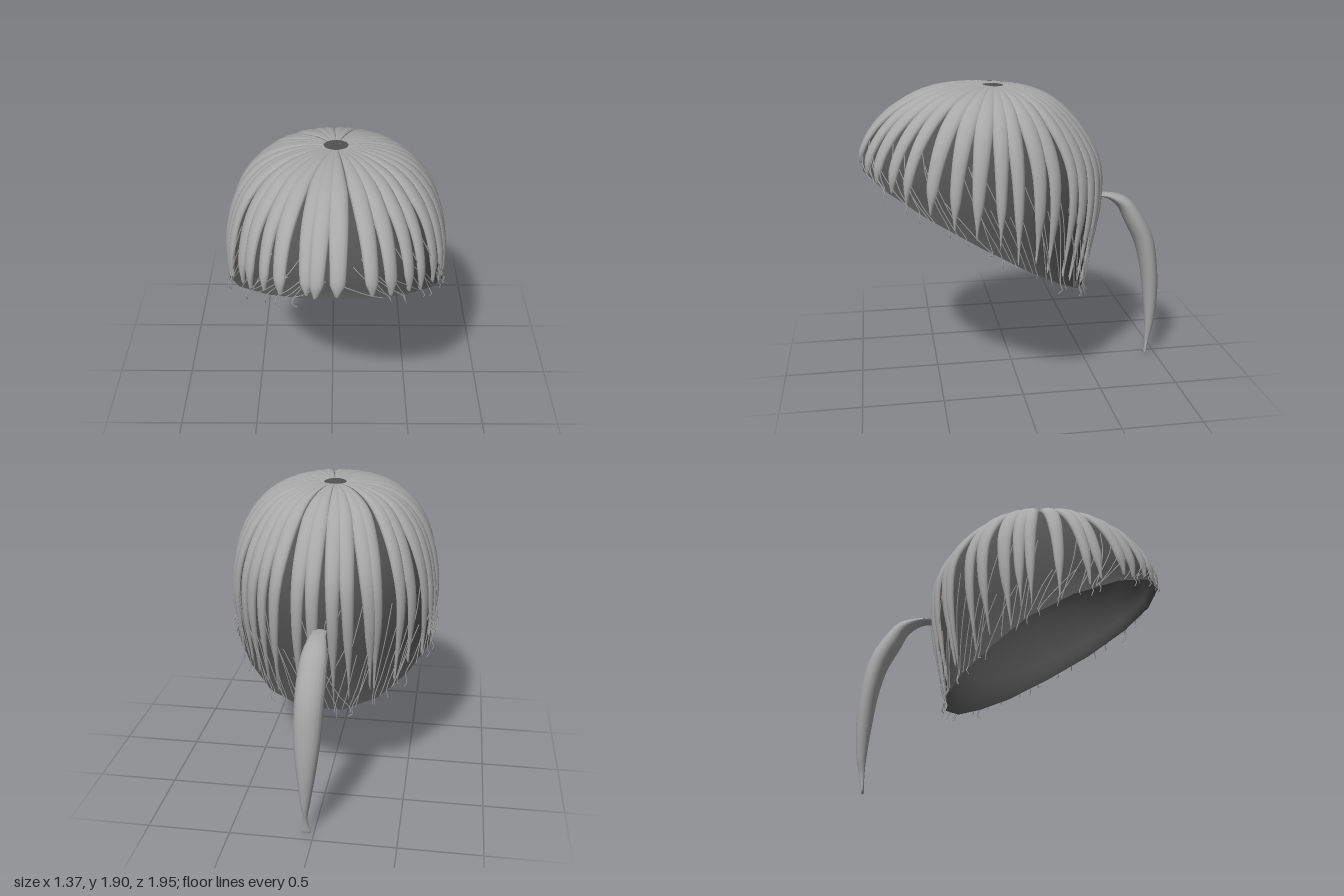
import * as THREE from 'three';
import { mergeGeometries } from 'three/addons/utils/BufferGeometryUtils.js';

const V = (x, y, z) => new THREE.Vector3(x, y, z);
const smooth = THREE.MathUtils.smoothstep;
const spline = (pts) => new THREE.SplineCurve(pts.map(([a, b]) => new THREE.Vector2(a, b)));

// Crown-to-rim outlines as [distance from crown, height]
const FRONT = spline([[0, 1.878], [.2, 1.885], [.4, 1.845], [.57, 1.765], [.69, 1.675], [.775, 1.57], [.815, 1.48], [.82, 1.41]]);
const SIDE = spline([[0, 1.878], [.2, 1.868], [.385, 1.795], [.515, 1.67], [.597, 1.5], [.642, 1.3], [.657, 1.12], [.652, .96]]);
const BACK = spline([[0, 1.878], [.17, 1.865], [.355, 1.785], [.53, 1.61], [.645, 1.4], [.66, 1.15], [.615, .86], [.56, .58]]);

// Point on the head form: a = angle from the front towards +x, t = crown (0) to rim (1)
function headPoint(a, t) {
  const c = Math.cos(a);
  const s = SIDE.getPoint(t);
  const f = (c > 0 ? FRONT : BACK).getPoint(t);
  // The rim draws in behind the ears
  const pinch = c < 0 ? 1 - 0.1 * Math.sin(2 * a) ** 2 * smooth(t, 0.6, 1) : 1;
  return V(0.025 + s.x * pinch * Math.sin(a), s.y + (f.y - s.y) * Math.abs(c), 0.11 + f.x * c);
}

// Local directions on the head form: across, and outwards
function headFrame(a, t) {
  const t0 = Math.max(t - 0.02, 0.001), t1 = Math.min(t + 0.02, 1);
  const across = headPoint(a + 0.02, t).sub(headPoint(a - 0.02, t)).normalize();
  const down = headPoint(a, t1).sub(headPoint(a, t0)).normalize();
  return { across, out: down.cross(across).normalize() };
}

// Skin a list of closed rings, each wound about the direction of travel
function loft(rings) {
  const n = rings[0].length, idx = [];
  for (let i = 0; i < rings.length - 1; i++) {
    for (let j = 0; j < n; j++) {
      const k = (j + 1) % n;
      const a = i * n + j, b = i * n + k, c = b + n, d = a + n;
      idx.push(a, b, c, a, c, d);
    }
  }
  const g = new THREE.BufferGeometry().setFromPoints(rings.flat());
  g.setIndex(idx);
  g.computeVertexNormals();
  return g;
}

// Elliptical ring; flute notches every other corner, floor flattens the underside
function ring(centre, u, v, w, h, sides, flute = 0, floor = -1) {
  return Array.from({ length: sides }, (_, j) => {
    const p = j / sides * Math.PI * 2, k = j % 2 ? 1 - flute : 1;
    return centre.clone().addScaledVector(u, w * k * Math.cos(p)).addScaledVector(v, h * k * Math.max(floor, Math.sin(p)));
  });
}

// Shell over the head form from the crown down to tMax
function shell(tMax, steps, sides, offset) {
  return loft(Array.from({ length: steps + 1 }, (_, i) => {
    const t = Math.max(tMax * i / steps, 0.001);
    return Array.from({ length: sides }, (_, j) => {
      const a = (j + 0.5) / sides * Math.PI * 2;
      return headPoint(a, t).addScaledVector(headFrame(a, Math.max(t, 0.03)).out, offset(t));
    });
  }));
}

export function createModel() {
  const group = new THREE.Group();
  const hair = new THREE.MeshStandardMaterial({ color: 0xa8a8a8 });
  const scalp = new THREE.MeshStandardMaterial({ color: 0x525252, side: THREE.DoubleSide });
  let seed = 7;
  const rand = () => (seed = (seed * 16807) % 2147483647) / 2147483647;
  const add = (name, geo, mat) => {
    const m = new THREE.Mesh(geo, mat);
    m.name = name;
    group.add(m);
  };

  // Under cap: an open shell just inside the strands; smooth crown where the strands meet
  add('underCap', shell(1, 14, 16, (t) => (t > 0.95 ? 0.012 : -0.01)), scalp);
  add('crown', shell(0.3, 8, 48, (t) => 0.008 - 0.012 * smooth(t, 0.1, 0.3)), hair);

  // Strands radiating from the crown, narrowing towards the rim
  const COUNT = 36;
  const strands = [];
  for (let i = 0; i < COUNT; i++) {
    const a0 = (i + 0.5 + (rand() - 0.5) * 0.6) / COUNT * Math.PI * 2;
    const frontness = Math.max(0, Math.cos(a0));
    const maxW = 0.045 + rand() * 0.011;
    const end = 0.92 + rand() * 0.06 + frontness * 0.015;
    const sway = (rand() - 0.5) * 0.08;
    const rings = [];
    for (let s = 0; s <= 24; s++) {
      const t = 0.06 + (end - 0.06) * s / 24;
      const a = a0 + sway * t * t;
      const p = headPoint(a, t);
      const r = Math.hypot(p.x - 0.025, p.z - 0.11);
      const { across, out } = headFrame(a, t);
      const taper = 1 - (0.42 - 0.2 * frontness) * smooth(t, 0.4, 0.85) - 0.5 * smooth(t, 0.72 + 0.1 * frontness, end);
      const w = Math.min(r * Math.PI / COUNT * 1.4, maxW) * taper;
      const h = (0.003 + 0.025 * smooth(r, 0.05, 0.5)) * (0.4 + 0.6 * taper);
      rings.push(ring(p, across, out, w, h, 12, 0, -0.3));
    }
    const tipT = Math.min(end + 0.02, 1), tipA = a0 + sway;
    const tip = headPoint(tipA, tipT).addScaledVector(headFrame(tipA, tipT).out, 0.008);
    rings.push(Array.from({ length: 12 }, () => tip.clone()));
    strands.push(loft(rings));
  }
  add('hairStrands', mergeGeometries(strands), hair);

  // Loose wisps slanting to the back and curling past the rim
  const wisps = [];
  for (let i = 0; i < 84; i++) {
    const a = (i + rand()) / 84 * Math.PI * 2;
    const drift = (Math.sin(a) >= 0 ? 1 : -1) * (0.15 + rand() * 0.2);
    const t0 = 0.6 + rand() * 0.25;
    const pts = [0, 0.35, 0.7, 1].map((k) => {
      const t = t0 + (0.995 - t0) * k, b = a + drift * k;
      return headPoint(b, t).addScaledVector(headFrame(b, t).out, 0.004 + 0.01 * smooth(t, 0.85, 0.95));
    });
    if (i % 2) {
      const { across, out } = headFrame(a + drift, 0.98);
      const rim = pts[3], len = 0.02 + rand() * 0.05, curl = (rand() - 0.5) * 0.06;
      pts.push(rim.clone().addScaledVector(out, 0.02).add(V(0, -len * 0.6, 0)));
      pts.push(rim.clone().addScaledVector(out, 0.008).addScaledVector(across, curl).add(V(0, -len, 0)));
    }
    wisps.push(new THREE.TubeGeometry(new THREE.CatmullRomCurve3(pts), 16, 0.003, 4));
  }
  add('looseWisps', mergeGeometries(wisps), hair);

  // Ponytail: [x, y, z, half width, half thickness]
  const stations = [
    [.02, 1.15, -.55, .045, .012], [.02, 1.145, -.63, .05, .018], [.02, 1.09, -.74, .075, .045],
    [.025, .98, -.815, .086, .062], [.03, .83, -.89, .086, .064], [.035, .65, -.93, .08, .057],
    [.04, .45, -.95, .06, .05], [.047, .22, -.952, .03, .03], [.05, .1, -.94, .014, .014], [.045, 0, -.93, .026, .008],
  ];
  const path = new THREE.CatmullRomCurve3(stations.map(([x, y, z]) => V(x, y, z)));
  const size = spline(stations.map((s) => [s[3], s[4]]));
  const tail = [];
  const STEPS = 40;
  for (let i = 0; i <= STEPS; i++) {
    const t = i / STEPS, c = path.getPoint(t), wh = size.getPoint(t);
    const u = V(1, 0, 0);
    const v = path.getTangent(t).cross(u).normalize();
    const cap = ring(c, u, v, 0, 0, 40);
    if (i === 0) tail.push(cap);
    tail.push(ring(c, u, v, wh.x, wh.y, 40, 0.11));
    if (i === STEPS) tail.push(cap);
  }
  add('ponytail', loft(tail), hair);

  return group;
}
